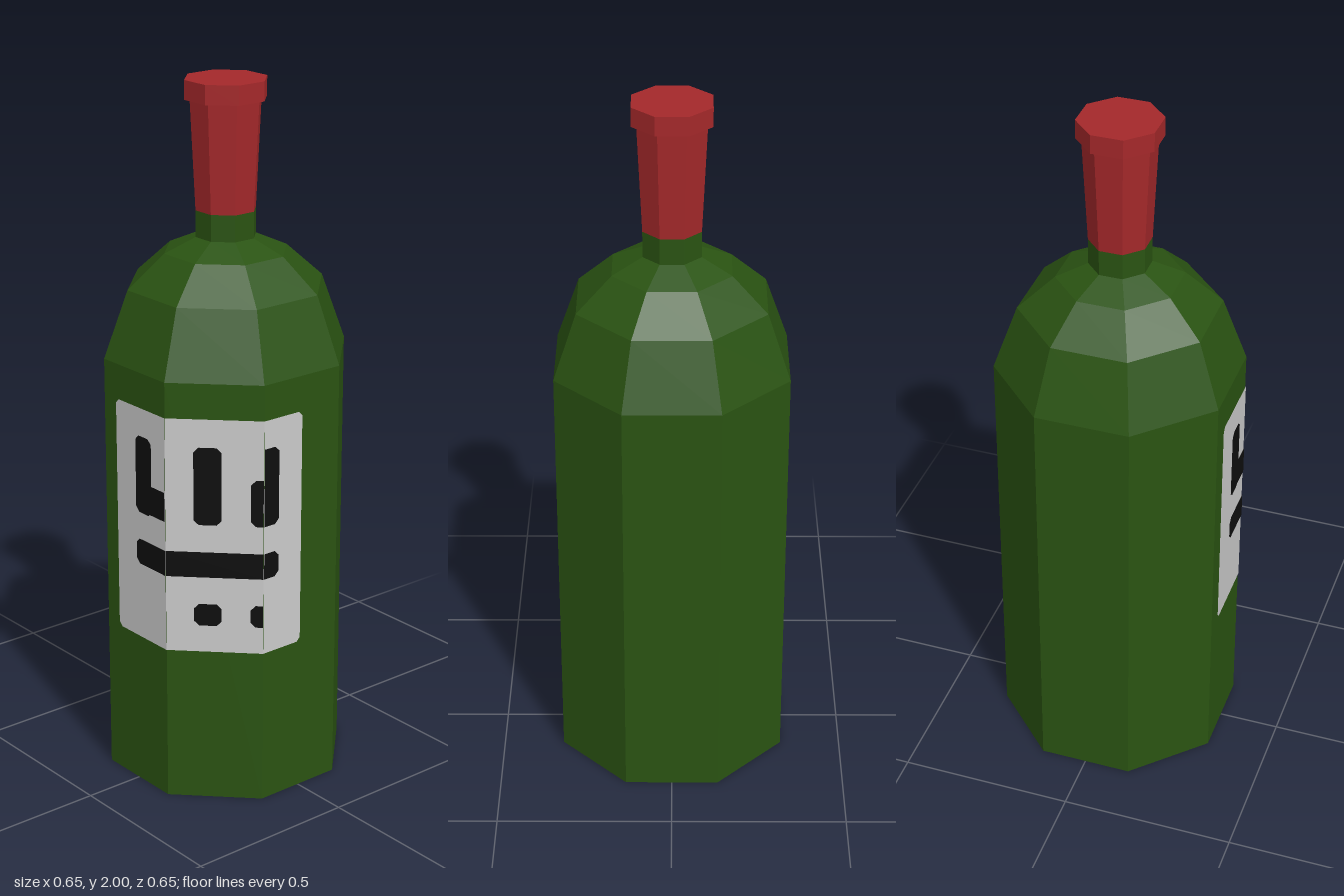
import * as THREE from 'three';

const APOTHEM = 0.324; // centre to flat side of the octagonal body

function material(name, color, extra = {}) {
  const m = new THREE.MeshStandardMaterial({ color, ...extra });
  m.name = name;
  return m;
}

// Octagonal lathe with its flats on the axes; points are [apothem, y].
function octagon(name, points, mat) {
  const k = 1 / Math.cos(Math.PI / 8);
  const profile = points.map(([r, y]) => new THREE.Vector2(r * k, y));
  let geo = new THREE.LatheGeometry(profile, 8, Math.PI / 8).toNonIndexed();
  geo.computeVertexNormals();
  const mesh = new THREE.Mesh(geo, mat);
  mesh.name = name;
  return mesh;
}

// Flat patch on a body side, from u0 to u1 and y0 to y1, with optional cut corners.
function patch(name, side, [u0, u1, y0, y1], lift, mat, cutLeft = 0, cutRight = 0) {
  const l = cutLeft, r = cutRight;
  const shape = new THREE.Shape([
    [u0 + l, y0], [u1 - r, y0], [u1, y0 + r], [u1, y1 - r],
    [u1 - r, y1], [u0 + l, y1], [u0, y1 - l], [u0, y0 + l],
  ].map(([x, y]) => new THREE.Vector2(x, y)));
  const geo = new THREE.ShapeGeometry(shape);
  geo.translate(0, 0, APOTHEM + lift);
  geo.rotateY(-side * Math.PI / 4);
  const mesh = new THREE.Mesh(geo, mat);
  mesh.name = name;
  return mesh;
}

export function createModel() {
  const glass = material('green glass', 0x2a5312, { flatShading: true });
  const foil = material('red foil', 0xa4282a, { flatShading: true });
  const paper = material('label paper', 0xcacaca);
  const ink = material('label ink', 0x0e0e0e);

  const bottle = new THREE.Group();
  bottle.name = 'bottle';

  // Glass body, shoulders and neck
  bottle.add(octagon('body', [
    [0, 0], [APOTHEM, 0], [APOTHEM, 1.24], [0.26, 1.43],
    [0.163, 1.525], [0.08, 1.565], [0.08, 1.64],
  ], glass));

  // Foil sleeve flaring upwards, and the cap
  bottle.add(octagon('foilSleeve', [[0.08, 1.64], [0.094, 1.948]], foil));
  bottle.add(octagon('cap', [[0, 1.946], [0.108, 1.946], [0.108, 2], [0, 2]], foil));

  // Label wrapped around three sides: 0 front, 1 diagonal, 2 right-hand side
  const label = new THREE.Group();
  label.name = 'label';
  const E = 0.1345; // half width of a side
  const Y = [0.455, 1.14];
  label.add(patch('labelFront', 0, [-E, 0, ...Y], 0.002, paper, 0, 0.012));
  label.add(patch('labelMiddle', 1, [-E, E, ...Y], 0.002, paper));
  label.add(patch('labelSide', 2, [-0.08, E, ...Y], 0.002, paper, 0.012, 0));

  // Ink marks: side, extent, cut at left, cut at right
  const c = 0.014;
  const marks = [
    [0, [-E, -0.083, 0.835, 1.06], 0, c],
    [0, [-E, -0.083, 0.68, 0.755], 0, c],
    [1, [-0.057, 0.02, 0.835, 1.06], c, c],
    [1, [0.1, E, 0.835, 0.97], c, 0],
    [1, [-E, E, 0.68, 0.755], 0, 0],
    [1, [-0.057, 0.02, 0.535, 0.6], c, c],
    [1, [0.1, E, 0.535, 0.6], c, 0],
    [2, [0.008, 0.077, 0.835, 1.06], c, c],
    [2, [0.06, E, 0.84, 0.925], 0, 0],
    [2, [0.008, E, 0.68, 0.755], c, 0],
  ];
  marks.forEach(([side, box, l, r], i) =>
    label.add(patch('labelMark' + (i + 1), side, box, 0.004, ink, l, r)));
  bottle.add(label);

  return bottle;
}
